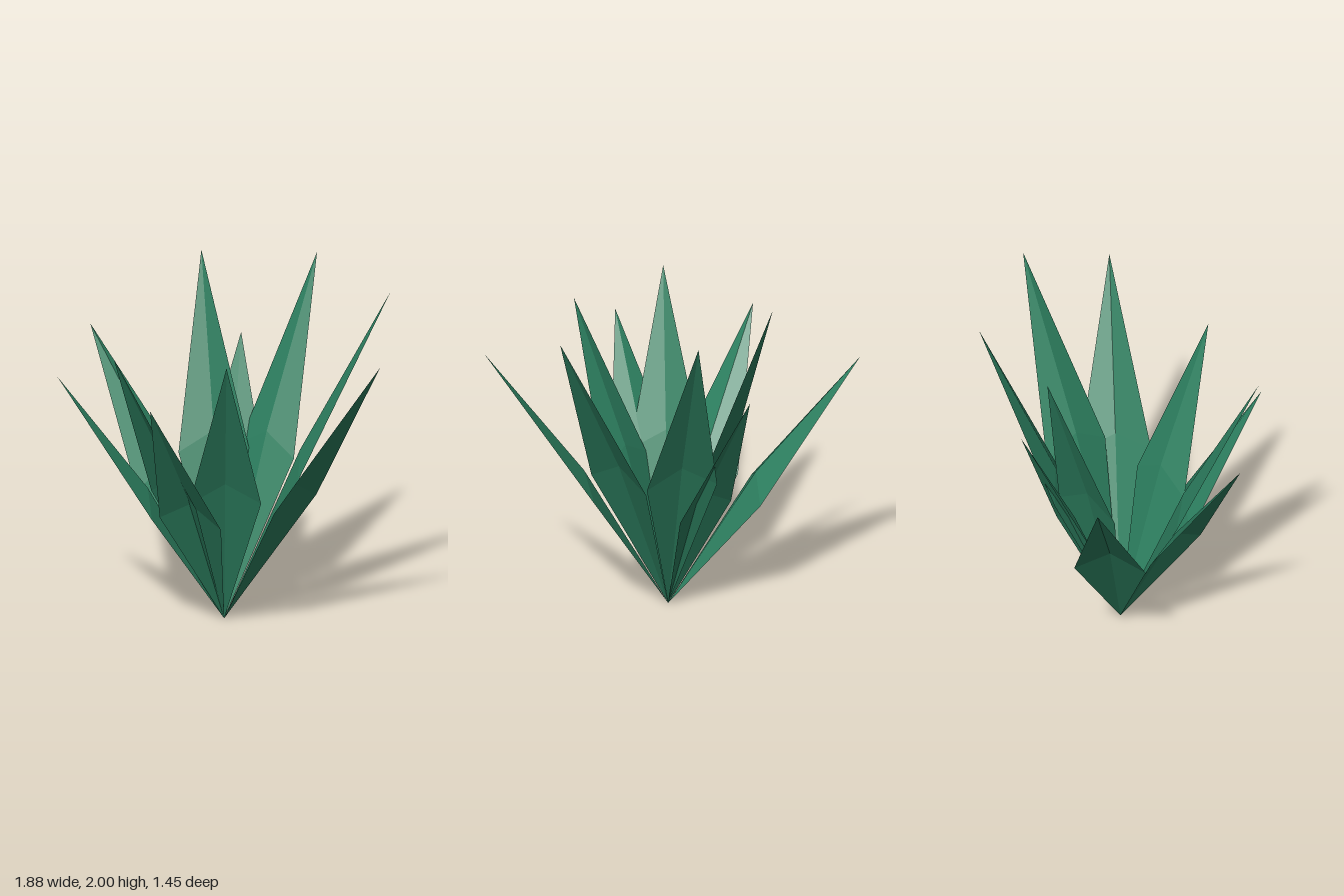
import * as THREE from 'three';

const BASE = new THREE.Vector3(-0.01, 0, -0.01);
const HALF_WIDTH = 0.205; // half the leaf's widest span
const WIDEST = 0.457;     // where along the leaf it is widest
const FOLD = 0.12;        // how far the midrib rises above the side corners

// Leaf tips, in order around the plant
const TIPS = [
  [0.94, 2, -0.045], [0.94, 1.75, 0.545], [0.07, 1.75, 0.645], [-0.36, 1.5, 0.72],
  [-0.585, 1.75, 0.555], [-0.945, 1.5, 0.19], [-0.85, 1.5, -0.725],
  [-0.205, 2, -0.64], [0.02, 1.5, -0.67], [0.455, 2, -0.67],
];

// A diamond sheet folded along its midrib: four triangles
function leafGeometry(tip) {
  const middle = BASE.clone().lerp(tip, WIDEST);
  const side = new THREE.Vector3(tip.z - BASE.z, 0, BASE.x - tip.x).setLength(HALF_WIDTH);
  const a = middle.clone().add(side);
  const b = middle.clone().sub(side);
  const rib = middle.clone().setY(middle.y + FOLD);
  const corners = [BASE, a, rib, a, tip, rib, tip, b, rib, b, BASE, rib];
  const geometry = new THREE.BufferGeometry().setFromPoints(corners);
  geometry.computeVertexNormals();
  return geometry;
}

export function createModel() {
  const plant = new THREE.Group();
  plant.name = 'plant';
  const material = new THREE.MeshStandardMaterial({
    color: 0x2d8060, flatShading: true, side: THREE.DoubleSide,
  });
  TIPS.forEach((tip, i) => {
    const leaf = new THREE.Mesh(leafGeometry(new THREE.Vector3(...tip)), material);
    leaf.name = `leaf${i + 1}`;
    plant.add(leaf);
  });
  return plant;
}
